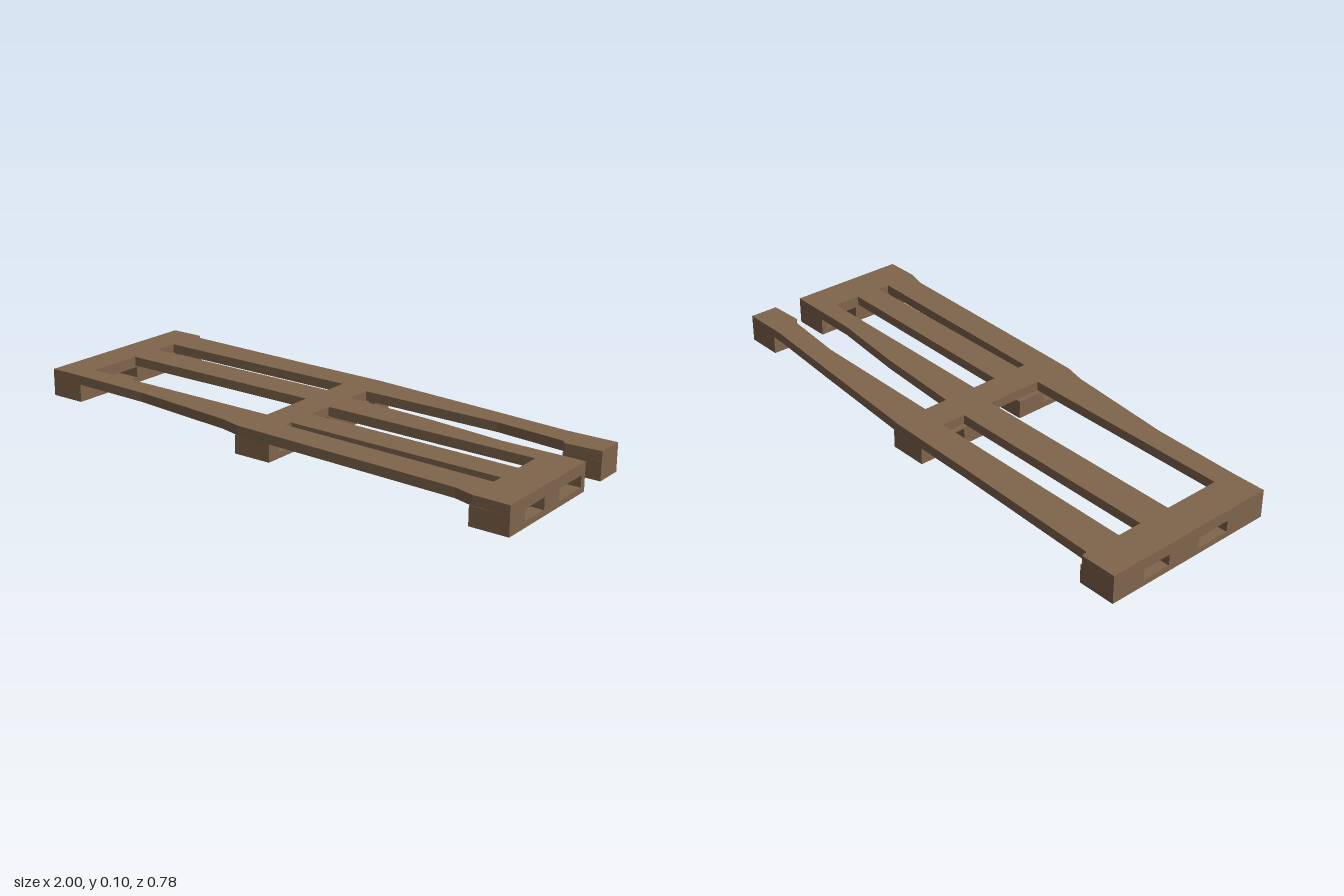
import * as THREE from 'three';

const DECK_BOTTOM = 0.066, DECK_TOP = 0.1;

// Turn [x, z] pairs into 2D points (second axis is -z)
const points = (pairs) => pairs.map(([x, z]) => new THREE.Vector2(x, -z));

// Rectangle in the z/y plane, as 2D points (first axis is -z)
const rect = (z0, z1, y0, y1) => [
  new THREE.Vector2(-z1, y0), new THREE.Vector2(-z0, y0),
  new THREE.Vector2(-z0, y1), new THREE.Vector2(-z1, y1),
];

export function createModel() {
  const group = new THREE.Group();
  const wood = new THREE.MeshStandardMaterial({ color: 0x7f654c });
  wood.name = 'weatheredWood';

  const add = (name, geometry) => {
    const mesh = new THREE.Mesh(geometry, wood);
    mesh.name = name;
    group.add(mesh);
  };

  // Deck: two staggered sets of uneven planks joined by cross boards
  const deck = new THREE.Shape(points([
    [-1, -0.392], [-0.87, -0.392], [-0.865, -0.37], [-0.3, -0.35], [0.03, -0.343],
    [0.5, -0.303], [0.82, -0.274], [1, -0.274], [1, -0.168], [0.87, -0.163],
    [0.855, -0.18], [0.6, -0.208], [0.06, -0.214], [0.06, -0.123], [0.4, -0.098],
    [0.7, -0.062], [1, -0.058], [1, 0.392], [0.87, 0.39], [0.8, 0.37],
    [0.06, 0.342], [-0.06, 0.337], [-0.14, 0.317], [-0.55, 0.274], [-0.87, 0.264], [-1, 0.264],
  ]));
  // Slots wind against the outline so their walls face inwards
  const slots = [
    [[-0.87, -0.149], [-0.055, -0.142], [-0.055, -0.233], [-0.87, -0.24]],
    [[-0.87, 0.184], [-0.055, 0.192], [-0.055, -0.022], [-0.87, -0.028]],
    [[0.06, 0.096], [0.865, 0.117], [0.865, 0.014], [0.06, 0.002]],
    [[0.06, 0.237], [0.865, 0.262], [0.865, 0.218], [0.06, 0.207]],
  ];
  for (const slot of slots) deck.holes.push(new THREE.Path(points(slot)));
  const deckGeometry = new THREE.ExtrudeGeometry(deck, { depth: DECK_TOP - DECK_BOTTOM, bevelEnabled: false });
  deckGeometry.rotateX(-Math.PI / 2).translate(0, DECK_BOTTOM, 0);
  add('deck', deckGeometry);

  // Support blocks, most with openings running along x
  const block = (name, x0, x1, z0, z1, openings = []) => {
    const shape = new THREE.Shape(rect(z0, z1, 0, DECK_BOTTOM));
    for (const [a, b] of openings) shape.holes.push(new THREE.Path(rect(a, b, 0.02, 0.061)));
    const geometry = new THREE.ExtrudeGeometry(shape, { depth: x1 - x0, bevelEnabled: false });
    add(name, geometry.rotateY(Math.PI / 2).translate(x0, 0, 0));
  };
  block('rightEndBlock', -1, -0.865, -0.392, 0.264, [[-0.265, -0.157], [-0.03, 0.1]]);
  block('leftEndBlock', 0.862, 1, -0.058, 0.392, [[-0.035, 0.102], [0.192, 0.305]]);
  block('leftBackFoot', 0.862, 1, -0.274, -0.166);
  block('middleBackFoot', -0.073, 0.07, -0.341, 0.012, [[-0.255, -0.157]]);
  block('middleFrontFoot', -0.073, 0.07, 0.094, 0.337, [[0.205, 0.285]]);

  return group;
}
